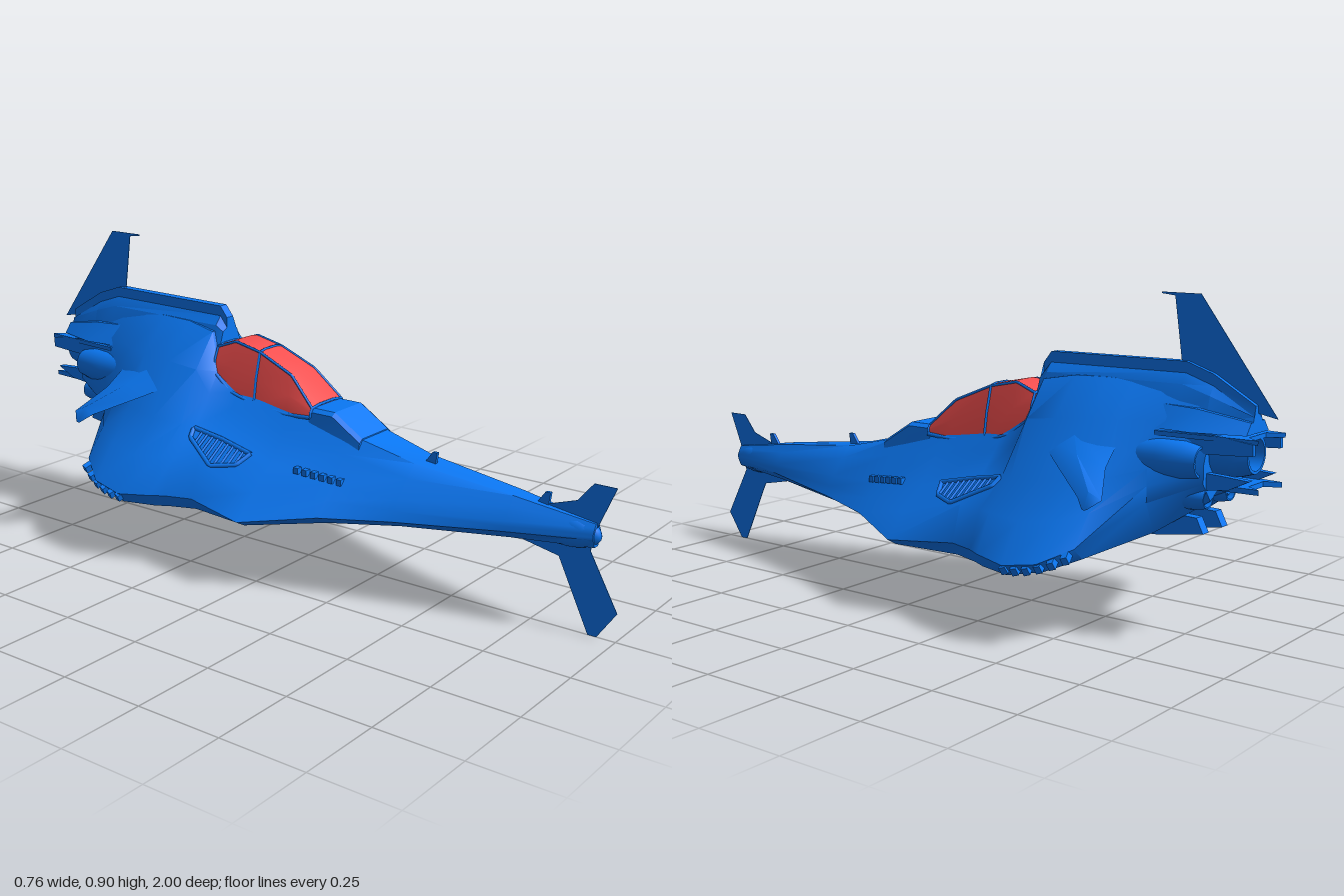
import * as THREE from 'three';
import { toCreasedNormals } from 'three/addons/utils/BufferGeometryUtils.js';

const blue = new THREE.MeshStandardMaterial({ color: 0x0a78f5, side: THREE.DoubleSide });
const red = new THREE.MeshStandardMaterial({ color: 0xf85050, side: THREE.DoubleSide });
const V = (x, y, z) => new THREE.Vector3(x, y, z);

// Skin a row of equal-length rings and cap both ends
function loft(rings, crease = 0.6) {
  const pos = [], n = rings[0].length, last = rings[rings.length - 1];
  const tri = (...p) => p.forEach(q => pos.push(q.x, q.y, q.z));
  for (let i = 0; i < rings.length - 1; i++) {
    for (let j = 0; j < n; j++) {
      const k = (j + 1) % n, a = rings[i][j], b = rings[i][k], c = rings[i + 1][k], d = rings[i + 1][j];
      tri(a, d, c);
      tri(a, c, b);
    }
  }
  for (let j = 1; j < n - 1; j++) {
    tri(rings[0][0], rings[0][j], rings[0][j + 1]);
    tri(last[0], last[j + 1], last[j]);
  }
  const g = new THREE.BufferGeometry();
  g.setAttribute('position', new THREE.Float32BufferAttribute(pos, 3));
  return toCreasedNormals(g, crease);
}

// Symmetric ring from right-hand points [x, y] listed bottom to top
const ring = (z, half) => [
  ...half.map(([x, y]) => V(x, y, z)),
  ...half.slice().reverse().map(([x, y]) => V(-x, y, z)),
];

// Hull stations: z, bottom y, bottom x, chine x/y, shelf x/y, deck x/y
const hull = [
  [0.93, 0.25, 0.01, 0.022, 0.275, 0.022, 0.29, 0.008, 0.315],
  [0.7, 0.235, 0.04, 0.076, 0.262, 0.072, 0.29, 0.028, 0.348],
  [0.4, 0.218, 0.11, 0.16, 0.245, 0.13, 0.3, 0.048, 0.382],
  [0.2, 0.203, 0.18, 0.23, 0.232, 0.155, 0.312, 0.065, 0.43],
  [0, 0.186, 0.3, 0.335, 0.205, 0.185, 0.335, 0.075, 0.47],
  [-0.2, 0.183, 0.275, 0.298, 0.22, 0.17, 0.385, 0.078, 0.492],
  [-0.28, 0.181, 0.3, 0.325, 0.22, 0.185, 0.395, 0.075, 0.54],
  [-0.32, 0.18, 0.32, 0.345, 0.218, 0.2, 0.4, 0.05, 0.65],
  [-0.42, 0.18, 0.35, 0.372, 0.21, 0.215, 0.405, 0.04, 0.668],
  [-0.52, 0.2, 0.33, 0.362, 0.227, 0.21, 0.42, 0.035, 0.67],
  [-0.6, 0.235, 0.27, 0.31, 0.268, 0.18, 0.43, 0.03, 0.668],
  [-0.7, 0.285, 0.09, 0.13, 0.37, 0.13, 0.46, 0.025, 0.66],
  [-0.84, 0.38, 0.05, 0.09, 0.43, 0.09, 0.48, 0.02, 0.64],
];

// Flank point between chine and shelf, swelling outward around the air intake
function flank([z, , , xc, yc, xm, ym]) {
  const swell = 0.034 * Math.max(0, 1 - Math.abs(z + 0.22) / 0.26);
  return [(xc + xm) / 2 + swell, (yc + ym) / 2 + swell * 0.6];
}

// Hull ring; the keel rises aft and the shoulder lies between shelf and deck
function hullRing(s) {
  const [z, yb, xb, xc, yc, xm, ym, xt, yt] = s;
  const keel = Math.min(0.03, Math.max(0, -z - 0.15) * 0.12);
  return ring(z, [[0, yb + keel], [xb, yb], [xc, yc], flank(s), [xm, ym],
    [xm * 0.64, ym + (yt - ym) * 0.6], [xt, yt]]);
}

// Point on the upper flank at x, z
function onFlank(x, z, lift) {
  const i = hull.findIndex((s, k) => z >= hull[k + 1][0]);
  const t = (z - hull[i][0]) / (hull[i + 1][0] - hull[i][0]);
  const s = hull[i].map((v, k) => v + (hull[i + 1][k] - v) * t);
  const [xf, yf] = flank(s);
  return V(x + lift * 0.5, s[6] + (yf - s[6]) * (x - s[5]) / (xf - s[5]) + lift, z);
}

const flat = (points, depth) => new THREE.ExtrudeGeometry(
  new THREE.Shape(points.map(p => new THREE.Vector2(...p))), { depth, bevelEnabled: false });

// Plates from side-view points [z, y] and from plan points [x, z]
const sidePlate = (points, thick) => flat(points, thick).translate(0, 0, -thick / 2).rotateY(-Math.PI / 2);
const planPlate = (points, thick) => flat(points, thick).rotateX(Math.PI / 2);

// Straight-segment bar through points
function bar(points, r, closed = false) {
  const path = new THREE.CurvePath();
  const pts = closed ? [...points, points[0]] : points;
  for (let i = 0; i < pts.length - 1; i++) path.add(new THREE.LineCurve3(pts[i], pts[i + 1]));
  return new THREE.TubeGeometry(path, pts.length * 8, r, 6, false);
}

export function createModel() {
  const model = new THREE.Group();
  const add = (name, geo, mat = blue, parent = model) => {
    const m = new THREE.Mesh(geo, mat);
    m.name = name;
    parent.add(m);
    return m;
  };

  // Fuselage and nose
  add('hull', loft(hull.map(hullRing), 0.75));
  const nose = add('noseCone', new THREE.SphereGeometry(1, 20, 14));
  nose.scale.set(0.034, 0.045, 0.1);
  nose.position.set(0, 0.28, 0.845);

  // Canopy glass with its frame bars
  const glass = [
    [0.065, 0.46, 0.485, 0.08, 0.07], [-0.02, 0.455, 0.565, 0.083, 0.054], [-0.14, 0.465, 0.615, 0.082, 0.05],
    [-0.23, 0.49, 0.634, 0.084, 0.05], [-0.295, 0.54, 0.61, 0.078, 0.055],
  ].map(([z, yb, yt, wb, wt]) => ring(z, [[wb, yb], [(wb + wt) / 2 + 0.004, (yb + yt) / 2], [wt, yt], [wt * 0.5, yt + 0.005]]));
  add('canopy', loft(glass), red);
  [0, 2, 4].forEach(i => add('canopyHoop', bar(glass[i], 0.004)));
  [2, 5].forEach(j => add('canopyRail', bar(glass.map(r => r[j]), 0.004)));
  [0, 7].forEach(j => add('canopySill', bar(glass.map(r => r[j]), 0.006)));

  // Hood in front of the canopy
  add('hood', loft([[0.235, 0.39, 0.415], [0.14, 0.42, 0.475], [0.06, 0.44, 0.475]]
    .map(([z, a, b]) => ring(z, [[0.082, a], [0.077, b], [0.063, b + 0.01]])), 0.4));

  // Spine above the engine bay
  add('spine', loft([[-0.295, 0.6, 0.05, 0.69], [-0.32, 0.6, 0.055, 0.722],
    [-0.74, 0.6, 0.05, 0.727], [-0.82, 0.58, 0.05, 0.7], [-0.94, 0.57, 0.03, 0.63]]
    .map(([z, yb, wb, yt]) => ring(z, [[wb, yb], [wb * 0.65, yb + (yt - yb) * 0.55], [0.014, yt - 0.03], [0.014, yt]])), 0.4));

  // Vertical fins at both ends
  add('tailFin', sidePlate([[-0.655, 0.9], [-0.77, 0.9], [-0.995, 0.6], [-0.83, 0.63], [-0.72, 0.72], [-0.695, 0.892], [-0.655, 0.896]], 0.002));
  add('noseUpperFin', sidePlate([[0.98, 0.42], [0.915, 0.42], [0.87, 0.365], [0.78, 0.335], [0.82, 0.3], [0.93, 0.3]], 0.002));
  add('noseLowerFin', sidePlate([[0.92, 0.26], [0.915, 0.235], [1, 0.08], [0.945, 0], [0.92, 0], [0.825, 0.2], [0.7, 0.225], [0.7, 0.25]], 0.002));

  // Deck antennas
  [[0.43, 0.375], [0.78, 0.335]].forEach(([z, y]) =>
    add('antenna', sidePlate([[z + 0.015, y + 0.035], [z, y + 0.035], [z - 0.025, y], [z + 0.01, y]], 0.01)));

  // Central nozzle
  const profile = [[0.06, 0], [0.066, 0.1], [0.062, 0.16], [0.05, 0.2], [0.042, 0.2], [0.045, 0.1], [0, 0.09]];
  const nozzleGeo = toCreasedNormals(new THREE.LatheGeometry(profile.map(p => new THREE.Vector2(...p)), 24), 0.5)
    .rotateX(-Math.PI / 2);
  add('mainNozzle', nozzleGeo).position.set(0, 0.505, -0.74);

  // Forked tail plates above and below the nozzle
  const forkHalf = [[0.045, -0.94], [0.075, -0.98], [0.085, -0.86], [0.1, -0.7]];
  const fork = [...forkHalf, ...forkHalf.slice().reverse().map(([x, z]) => [-x, z])];
  add('upperTail', loft([[-0.68, 0.62, 0.09], [-0.8, 0.615, 0.1], [-0.94, 0.59, 0.06]]
    .map(([z, y, w]) => ring(z, [[w, 0.56], [w * 0.6, y]])), 0.4));
  add('upperTailFork', planPlate(fork, 0.012)).position.y = 0.555;
  const lowFork = add('lowerTailFork', planPlate(fork, 0.014));
  lowFork.position.y = 0.43;
  lowFork.scale.x = 0.85;

  // Paired parts
  [['leftSide', 1], ['rightSide', -1]].forEach(([name, sign]) => {
    const side = new THREE.Group();
    side.name = name;
    side.scale.x = sign;
    model.add(side);
    const put = (n, g) => add(n, g, blue, side);

    // Drooping swept wing: x, lead z, trail z, height, thickness
    put('wing', loft([[0.06, -0.27, -0.66, 0.565, 0.09], [0.13, -0.36, -0.61, 0.515, 0.07],
      [0.2, -0.46, -0.62, 0.463, 0.05], [0.29, -0.595, -0.668, 0.4, 0.035], [0.315, -0.625, -0.64, 0.377, 0.005]]
      .map(([x, lead, trail, y, h]) => {
        const z = lead * 0.55 + trail * 0.45;
        return [V(x, y - h / 2, z), V(x, y, lead), V(x, y + h / 2, z), V(x, y, trail)];
      }), 0.7));

    // Air intake: raised rim with slats
    const rim = [[0.183, -0.07], [0.225, -0.09], [0.258, -0.16], [0.215, -0.27], [0.188, -0.28], [0.18, -0.18]];
    put('intakeRim', bar(rim.map(([x, z]) => onFlank(x, z, 0.002)), 0.007, true));
    for (let i = 0; i < 9; i++) {
      const z = -0.095 - i * 0.019;
      put('intakeSlat', bar([onFlank(0.185, z, 0.001), onFlank(0.255 - Math.abs(z + 0.16) * 0.38, z, 0.001)], 0.004));
    }

    // Small vents along the front flank
    for (let i = 0; i < 6; i++) {
      put('flankVent', new THREE.BoxGeometry(0.018, 0.018, 0.016))
        .position.set(0.147 + i * 0.005, 0.318 + i * 0.003, 0.22 - i * 0.026);
    }

    // Toothed trailing edge of the lower lobe
    for (let i = 0; i < 6; i++) {
      const tooth = put('edgeTooth', new THREE.BoxGeometry(0.036, 0.022, 0.018));
      tooth.position.set(0.356 - i * i * 0.0014, 0.203 + i * i * 0.0018, -0.42 - i * 0.033);
      tooth.rotation.set(0.3, 0.2, -0.5);
    }

    // Side engine and lower exhaust
    const engine = put('sideEngine', nozzleGeo);
    engine.scale.set(0.72, 0.8, 1.1);
    engine.position.set(0.085, 0.485, -0.61);
    const lower = put('lowerExhaust', nozzleGeo);
    lower.scale.set(0.55, 0.55, 0.8);
    lower.position.set(0.06, 0.39, -0.68);

    // Skids and petals under the tail
    put('underTailFin', sidePlate([[-0.6, 0.27], [-0.7, 0.275], [-0.83, 0.295], [-0.81, 0.335], [-0.66, 0.34]], 0.03))
      .position.x = 0.05;
    put('lowerPetal', sidePlate([[-0.72, 0.4], [-0.9, 0.42], [-0.96, 0.45], [-0.88, 0.455], [-0.74, 0.46]], 0.02))
      .position.x = 0.065;
    put('upperPetal', sidePlate([[-0.7, 0.5], [-0.9, 0.51], [-0.97, 0.515], [-0.97, 0.545], [-0.75, 0.57]], 0.014))
      .position.x = 0.075;
  });

  return model;
}
